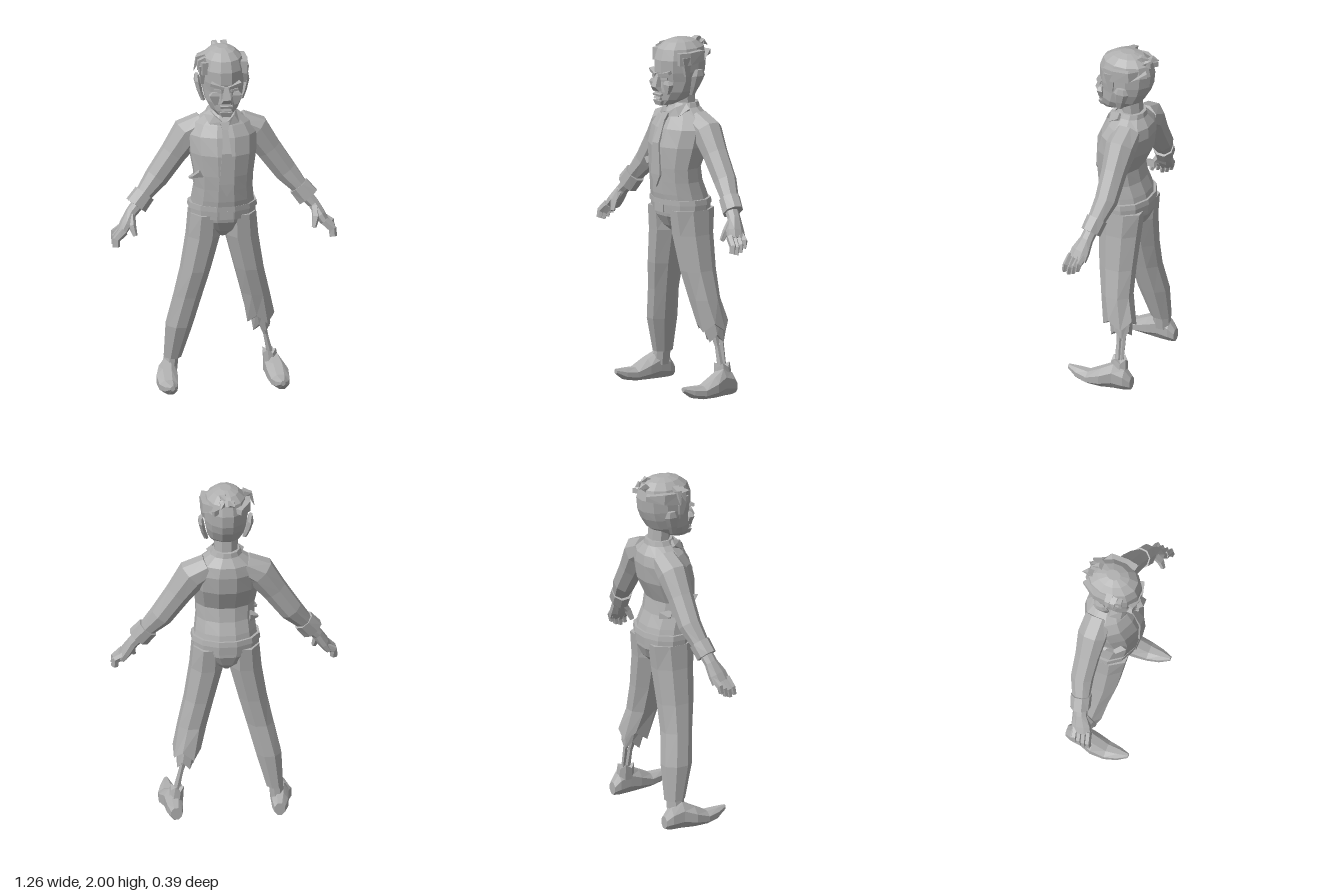
import * as THREE from 'three';

const V = (x, y, z) => new THREE.Vector3(x, y, z);
const grey = new THREE.MeshStandardMaterial({ color: 0xb0b0b0, flatShading: true });
grey.name = 'plain grey';

// Skin through sections [x, y, z, ru, rv, jag]; axis fixes the section plane, otherwise it follows the path
function loft(secs, n = 8, axis = null) {
  const pos = [], idx = [], k = 1 / Math.cos(Math.PI / n);
  const c = secs.map(s => V(s[0], s[1], s[2]));
  secs.forEach((s, i) => {
    const t = axis || c[Math.min(i + 1, c.length - 1)].clone().sub(c[Math.max(i - 1, 0)]).normalize();
    const u = t.clone().cross(Math.abs(t.z) > 0.9 ? V(0, 1, 0) : V(0, 0, 1)).normalize();
    const v = t.clone().cross(u);
    for (let j = 0; j < n; j++) {
      const a = (j + 0.5) / n * Math.PI * 2;
      const p = c[i].clone().addScaledVector(u, Math.cos(a) * s[3] * k).addScaledVector(v, Math.sin(a) * s[4] * k);
      p.y += (s[5] || 0) * (j % 2 ? 1 : -1);
      pos.push(p.x, p.y, p.z);
    }
  });
  const last = secs.length - 1, b = secs.length * n;
  pos.push(...c[0].toArray(), ...c[last].toArray());
  for (let j = 0; j < n; j++) {
    const q = (j + 1) % n;
    for (let i = 0; i < last; i++) {
      const A = i * n + j, B = i * n + q;
      idx.push(A, B, A + n, B, B + n, A + n);
    }
    idx.push(b, q, j, b + 1, last * n + j, last * n + q);
  }
  // Turn the faces outward
  let vol = 0;
  const at = i => V(pos[i * 3], pos[i * 3 + 1], pos[i * 3 + 2]).sub(c[0]);
  for (let i = 0; i < idx.length; i += 3) vol += at(idx[i]).dot(at(idx[i + 1]).cross(at(idx[i + 2])));
  if (vol < 0) idx.reverse();
  const g = new THREE.BufferGeometry();
  g.setAttribute('position', new THREE.Float32BufferAttribute(pos, 3));
  g.setIndex(idx);
  const flat = g.toNonIndexed();
  flat.computeVertexNormals();
  return flat;
}
const UP = V(0, 1, 0), FWD = V(0, 0, 1);
// Level rings given as [y, half width, front z, back z]
const body = rows => loft(rows.map(([y, r, f, b]) => [0, y, (f + b) / 2, r, (f - b) / 2]), 12, UP);

export function createModel() {
  const root = new THREE.Group();
  const add = (name, geo, parent = root) => {
    const m = new THREE.Mesh(geo, grey);
    m.name = name;
    parent.add(m);
    return m;
  };
  const box = (name, w, h, d, x, y, z, rx = 0, ry = 0, rz = 0) => {
    const m = add(name, new THREE.BoxGeometry(w, h, d));
    m.position.set(x, y, z);
    m.rotation.set(rx, ry, rz);
    return m;
  };

  // Shirt, belt and hips
  add('shirt', body([[1.07, 0.178, 0.125, -0.165], [1.13, 0.17, 0.135, -0.15], [1.2, 0.162, 0.14, -0.12],
    [1.28, 0.165, 0.145, -0.105], [1.4, 0.185, 0.145, -0.16], [1.5, 0.19, 0.115, -0.172],
    [1.56, 0.155, 0.08, -0.165], [1.615, 0.08, 0.035, -0.125]]));
  add('shirtHem', body([[1.07, 0.192, 0.13, -0.175], [1.1, 0.188, 0.13, -0.17]]));
  add('belt', body([[1.02, 0.184, 0.12, -0.168], [1.072, 0.184, 0.125, -0.17]]));
  box('buckle', 0.075, 0.05, 0.012, 0, 1.05, 0.125);
  add('hips', body([[0.9, 0.03, 0.03, -0.1], [0.94, 0.1, 0.075, -0.14], [1.0, 0.17, 0.11, -0.165], [1.03, 0.18, 0.115, -0.165]]));

  // Torn folds on the right side of the shirt
  for (let i = 0; i < 3; i++)
    add('tornFold', loft([[-0.13, 1.3 - i * 0.04, 0.08 - i * 0.08, 0.02, 0.04], [-0.178, 1.265 - i * 0.025, 0.06 - i * 0.07, 0.004, 0.008]], 4));

  // Collar and tie
  add('collar', body([[1.585, 0.1, 0.052, -0.135], [1.635, 0.075, 0.025, -0.125]]));
  for (const s of [-1, 1])
    add('collarFlap', loft([[s * 0.085, 1.615, -0.01, 0.02, 0.012], [s * 0.065, 1.59, 0.05, 0.028, 0.01], [s * 0.02, 1.575, 0.075, 0.012, 0.008]], 4));
  add('tieKnot', loft([[0, 1.545, 0.09, 0.016, 0.014], [0, 1.585, 0.07, 0.026, 0.016]], 4, UP));
  add('tie', loft([[0, 1.55, 0.094, 0.014, 0.007], [0, 1.42, 0.148, 0.027, 0.006], [0, 1.24, 0.15, 0.042, 0.006], [0, 1.17, 0.148, 0.003, 0.005]], 4, UP));

  // Neck and head
  add('neck', loft([[0, 1.57, -0.055, 0.062, 0.055], [0, 1.72, -0.04, 0.066, 0.058]], 8, UP));
  add('head', body([[1.635, 0.04, 0.13, 0.03], [1.665, 0.075, 0.135, -0.06], [1.71, 0.1, 0.135, -0.115],
    [1.77, 0.112, 0.128, -0.15], [1.82, 0.118, 0.138, -0.168], [1.89, 0.12, 0.138, -0.175],
    [1.95, 0.105, 0.118, -0.16], [1.985, 0.07, 0.07, -0.115], [2.0, 0.03, 0.02, -0.06]]));

  // Face
  add('nose', loft([[0, 1.715, 0.13, 0.03, 0.02], [0, 1.74, 0.143, 0.022, 0.027], [0, 1.81, 0.13, 0.01, 0.012]], 4, UP));
  box('upperLip', 0.07, 0.012, 0.02, 0, 1.694, 0.136, 0.3);
  box('lowerLip', 0.055, 0.014, 0.02, 0, 1.672, 0.135, -0.3);
  add('chin', loft([[0, 1.633, 0.125, 0.025, 0.012], [0, 1.66, 0.133, 0.035, 0.012]], 4, UP));
  for (const s of [-1, 1]) {
    box('brow', 0.078, 0.018, 0.03, s * 0.048, 1.816, 0.126, 0.2, s * 0.3, s * 0.2);
    box('eye', 0.045, 0.014, 0.008, s * 0.048, 1.787, 0.128, 0, s * 0.3, s * 0.1);
    add('cheek', loft([[s * 0.055, 1.7, 0.11, 0.012, 0.01], [s * 0.065, 1.755, 0.113, 0.028, 0.016], [s * 0.06, 1.775, 0.115, 0.015, 0.008]], 4, UP));
    // Ears and side hair
    add('ear', loft([[s * 0.108, 1.69, -0.02, 0.012, 0.015], [s * 0.125, 1.74, -0.03, 0.014, 0.028],
      [s * 0.138, 1.8, -0.042, 0.016, 0.04], [s * 0.14, 1.835, -0.045, 0.01, 0.025]], 6, UP));
    add('sideHair', loft([[s * 0.108, 1.9, 0.075, 0.018, 0.035], [s * 0.122, 1.9, 0.01, 0.018, 0.035],
      [s * 0.118, 1.91, -0.08, 0.018, 0.03], [s * 0.06, 1.915, -0.162, 0.015, 0.02]], 4));
    add('sideburn', loft([[s * 0.115, 1.8, 0.025, 0.014, 0.012], [s * 0.122, 1.91, 0.035, 0.018, 0.03]], 4, UP));
  }
  // Loose strands: root, bend, tip
  const strands = [
    [[-0.1, 1.95, 0.0], [-0.14, 1.945, 0.0], [-0.165, 1.87, 0.0]],
    [[-0.1, 1.94, 0.03], [-0.135, 1.93, 0.03], [-0.15, 1.885, 0.04]],
    [[-0.02, 1.95, -0.14], [-0.025, 1.975, -0.165], [-0.035, 1.965, -0.195]],
    [[0.02, 1.95, -0.13], [0.03, 1.965, -0.16], [0.04, 1.945, -0.18]],
    [[0.02, 1.97, -0.1], [0.025, 1.99, -0.12], [0.01, 1.985, -0.155]]];
  for (const p of strands)
    add('hairStrand', loft(p.map((q, i) => [...q, ...[[0.02, 0.02], [0.014, 0.014], [0.001, 0.001]][i]]), 4));

  for (const s of [-1, 1]) {
    // Sleeve and cuff
    add('sleeve', loft([[s * 0.1, 1.535, -0.065, 0.065, 0.075], [s * 0.19, 1.485, -0.065, 0.085, 0.08], [s * 0.27, 1.37, -0.062, 0.07, 0.066],
      [s * 0.365, 1.235, -0.058, 0.063, 0.06], [s * 0.455, 1.13, -0.03, 0.042, 0.045]], 8));
    add('cuff', loft([[s * 0.435, 1.15, -0.035, 0.058, 0.055], [s * 0.487, 1.085, -0.02, 0.062, 0.052]], 8));
    // Hand
    add('palm', loft([[s * 0.47, 1.1, -0.02, 0.035, 0.036], [s * 0.515, 1.05, -0.008, 0.03, 0.036],
      [s * 0.55, 0.99, 0.012, 0.03, 0.052], [s * 0.575, 0.95, 0.022, 0.025, 0.054]], 8));
    for (let i = 0; i < 4; i++) {
      const z = -0.018 + i * 0.027, d = [0.03, 0.01, 0, 0.01][i];
      add('finger', loft([[s * 0.565, 0.965, z, 0.021, 0.014], [s * 0.612, 0.91 + d, z + 0.012, 0.018, 0.014],
        [s * 0.614, 0.87 + d, z + 0.02, 0.016, 0.011]], 5));
    }
    add('thumb', loft([[s * 0.52, 1.04, 0.015, 0.02, 0.02], [s * 0.52, 0.99, 0.05, 0.019, 0.017], [s * 0.505, 0.935, 0.072, 0.011, 0.011]], 5));

    // Shoe with a raised pointed toe
    add('shoe', loft([[s * 0.29, 0.04, -0.18, 0.03, 0.036], [s * 0.295, 0.062, -0.145, 0.045, 0.062], [s * 0.3, 0.076, -0.08, 0.05, 0.076],
      [s * 0.312, 0.058, -0.01, 0.06, 0.058], [s * 0.316, 0.038, 0.07, 0.052, 0.037],
      [s * 0.314, 0.046, 0.14, 0.036, 0.032], [s * 0.312, 0.066, 0.197, 0.012, 0.014]], 8, FWD));
  }

  // Whole trouser leg on the right
  add('rightTrouserLeg', loft([[-0.1, 1.04, -0.025, 0.085, 0.13], [-0.108, 0.9, -0.025, 0.09, 0.115], [-0.15, 0.7, -0.03, 0.08, 0.1],
    [-0.19, 0.54, -0.045, 0.075, 0.085], [-0.235, 0.36, -0.07, 0.071, 0.085], [-0.268, 0.16, -0.1, 0.046, 0.056]], 8, UP));
  add('rightAnkle', loft([[-0.285, 0.08, -0.1, 0.04, 0.05], [-0.273, 0.18, -0.1, 0.038, 0.046]], 8, UP));

  // Torn trouser leg on the left, with bare bones below
  add('leftTrouserLeg', loft([[0.1, 1.04, -0.025, 0.085, 0.13], [0.108, 0.9, -0.025, 0.09, 0.115], [0.15, 0.7, -0.03, 0.08, 0.1],
    [0.19, 0.54, -0.045, 0.078, 0.085], [0.222, 0.385, -0.075, 0.076, 0.088, 0.025]], 8, UP));
  add('tornHem', loft([[0.215, 0.43, -0.08, 0.055, 0.065], [0.232, 0.32, -0.09, 0.048, 0.055, 0.022]], 8, UP));
  add('shinBone', loft([[0.225, 0.37, -0.08, 0.024, 0.024], [0.255, 0.27, -0.085, 0.012, 0.012], [0.282, 0.15, -0.09, 0.017, 0.017]], 6));
  add('calfBone', loft([[0.24, 0.36, -0.115, 0.012, 0.012], [0.283, 0.15, -0.115, 0.009, 0.009]], 5));
  add('leftSock', loft([[0.29, 0.09, -0.1, 0.042, 0.05], [0.278, 0.17, -0.1, 0.036, 0.044, 0.012]], 8, UP));

  return root;
}
